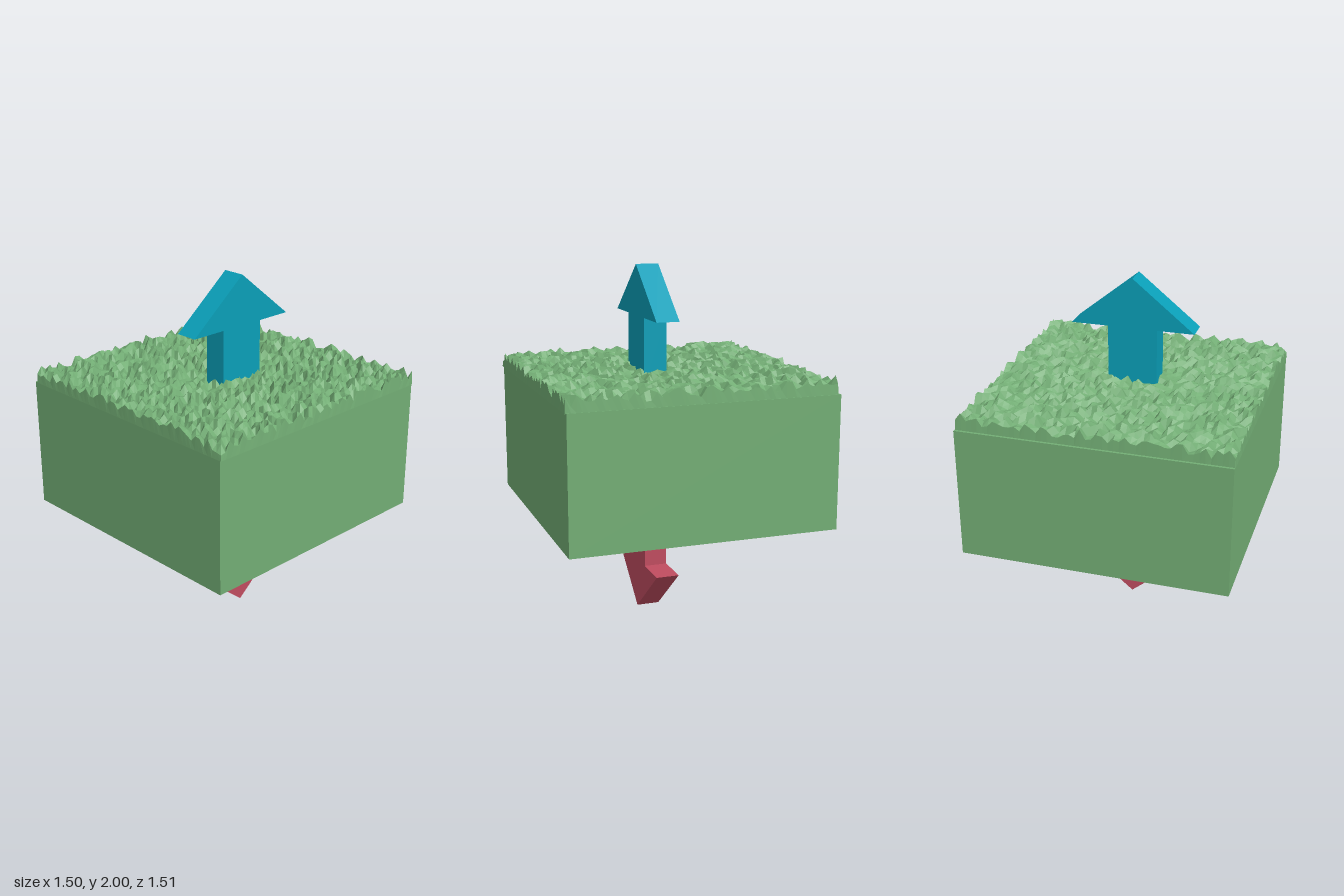
import * as THREE from 'three';

const mat = (color, extra = {}) => new THREE.MeshStandardMaterial({ color, ...extra });

// Small seeded generator for the grass heights
function seeded(seed) {
  return () => {
    seed = (seed * 1664525 + 1013904223) % 4294967296;
    return seed / 4294967296;
  };
}

// Flat arrow pointing along +y, base at y = 0
function arrowGeometry(stemLength, totalLength) {
  const points = [
    [-0.14, 0], [0.14, 0], [0.14, stemLength], [0.35, stemLength],
    [0, totalLength], [-0.35, stemLength], [-0.14, stemLength],
  ].map(([x, y]) => new THREE.Vector2(x, y));
  return new THREE.ExtrudeGeometry(new THREE.Shape(points), { depth: 0.13, bevelEnabled: false });
}

// Rough turf: a grid with jittered heights and a steep rim around it
function turfGeometry() {
  const n = 52, half = 0.747, base = 1.345;
  const geo = new THREE.PlaneGeometry(2, 2, n, n).rotateX(-Math.PI / 2);
  const pos = geo.attributes.position;
  const random = seeded(7);
  const place = (i) => {
    if (i === 0) return -half;
    if (i === n) return half;
    return (-1 + (2 * (i - 1)) / (n - 2)) * (half - 0.004);
  };
  for (let k = 0; k < pos.count; k++) {
    const i = k % (n + 1), j = Math.floor(k / (n + 1));
    const rim = i === 0 || j === 0 || i === n || j === n;
    const wave = 0.008 * Math.sin(i * 0.9 + 2 * Math.sin(j * 0.5)) * Math.cos(j * 0.8);
    const y = rim ? base : 1.382 + wave + 0.058 * Math.pow(random(), 1.3);
    pos.setXYZ(k, place(i) - 0.003, y, place(j) + 0.006);
  }
  geo.computeVertexNormals();
  return geo;
}

export function createModel() {
  const group = new THREE.Group();
  const add = (name, geometry, material) => {
    const mesh = new THREE.Mesh(geometry, material);
    mesh.name = name;
    group.add(mesh);
    return mesh;
  };

  // Solid block under the turf
  add('block', new THREE.BoxGeometry(1.495, 0.747, 1.5), mat(0x73ae75))
    .position.set(0, 0.9735, -0.005);

  // Jagged grass surface
  add('turf', turfGeometry(), mat(0x73ae75, { flatShading: true, side: THREE.DoubleSide }));

  // Arrow rising from the turf
  add('upArrow', arrowGeometry(0.37, 0.653), mat(0x0a9fb8)).position.set(0, 1.347, 0.012);

  // Arrow hanging under the block
  const down = add('downArrow', arrowGeometry(0.31, 0.6), mat(0xc04d60));
  down.rotation.x = Math.PI;
  down.position.set(0, 0.6, 0.142);

  return group;
}
